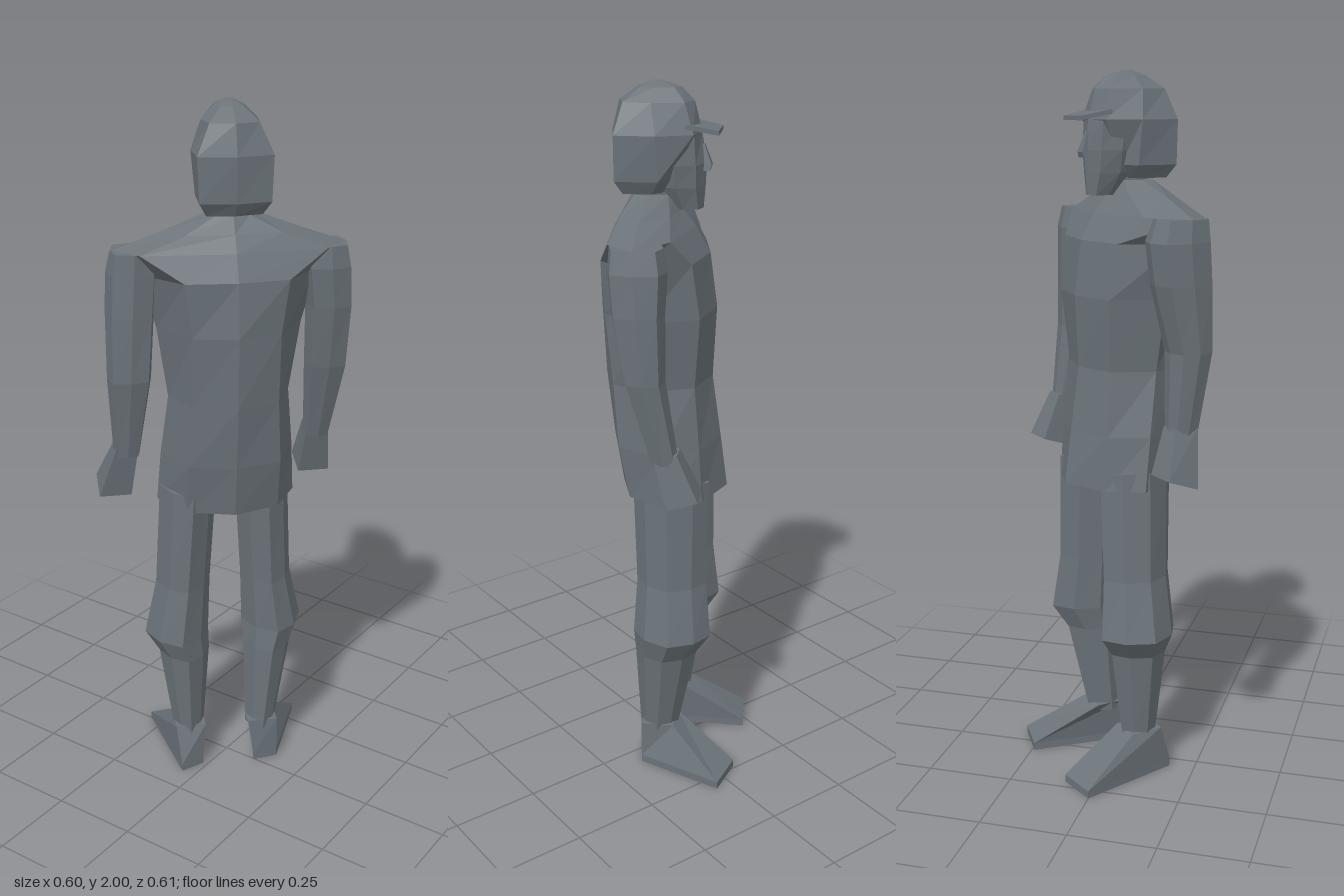
import * as THREE from 'three';

const cloth = new THREE.MeshStandardMaterial({ color: 0x6b7379 });
cloth.name = 'slate grey';

// Faceted skin through rings listed bottom to top; each ring runs front, +x, back, -x.
function loft(name, rings) {
  const pos = [], n = rings[0].length;
  const tri = (a, b, c) => pos.push(...a, ...b, ...c);
  const centre = r => [0, 1, 2].map(k => r.reduce((s, p) => s + p[k], 0) / n);
  const low = rings[0], high = rings[rings.length - 1];
  for (let i = 0; i < n; i++) {
    const j = (i + 1) % n;
    for (let k = 0; k + 1 < rings.length; k++) {
      const a = rings[k], b = rings[k + 1];
      tri(a[i], a[j], b[j]);
      tri(a[i], b[j], b[i]);
    }
    tri(centre(low), low[j], low[i]);
    tri(centre(high), high[i], high[j]);
  }
  const geo = new THREE.BufferGeometry();
  geo.setAttribute('position', new THREE.Float32BufferAttribute(pos, 3));
  geo.computeVertexNormals();
  const mesh = new THREE.Mesh(geo, cloth);
  mesh.name = name;
  return mesh;
}

// Eight-sided limb section; corner sets how square (0.8) or diamond-like (0.6) it is
const oct = corner => ([y, cx, cz, hx, hz]) =>
  Array.from({ length: 8 }, (_, i) => {
    const t = i * Math.PI / 4, s = i % 2 ? corner * Math.SQRT2 : 1;
    return [cx + Math.sin(t) * hx * s, y, cz + Math.cos(t) * hz * s];
  });

// Four-cornered section; tilt raises the front edge
const quad = ([y, cx, cz, hx, hz, tilt = 0]) =>
  [[1, 1], [1, -1], [-1, -1], [-1, 1]].map(([sx, sz]) => [cx + sx * hx, y + sz * tilt, cz + sz * hz]);

// Mirrored section: front depth, front corner, side, back corner, back depth
function body([y, f, fx, fz, sx, sz, bx, bz, b]) {
  return [[0, y, f], [fx, y, fz], [sx, y, sz], [bx, y, bz], [0, y, b],
    [-bx, y, bz], [-sx, y, sz], [-fx, y, fz]];
}

export function createModel() {
  const model = new THREE.Group();
  model.name = 'figure';

  // Jacket, flared at the hem, with a yoke running out over the shoulders
  model.add(loft('jacket', [
    [0.87, 0.165, 0.135, 0.11, 0.2, 0.02, 0.13, -0.095, -0.135],
    [1.02, 0.145, 0.13, 0.1, 0.19, 0, 0.13, -0.125, -0.16],
    [1.2, 0.12, 0.12, 0.085, 0.17, -0.03, 0.12, -0.14, -0.18],
    [1.4, 0.13, 0.14, 0.1, 0.2, -0.04, 0.12, -0.16, -0.19],
    [1.55, 0.11, 0.15, 0.08, 0.24, -0.05, 0.14, -0.165, -0.18],
    [1.62, 0.07, 0.2, 0.03, 0.315, -0.05, 0.25, -0.125, -0.15],
    [1.665, 0.035, 0.11, 0.015, 0.19, -0.055, 0.13, -0.115, -0.125],
    [1.71, 0.01, 0.04, 0, 0.065, -0.045, 0.045, -0.09, -0.1],
  ].map(body)));

  // Neck
  model.add(loft('neck', [
    [1.66, 0, -0.04, 0.05, 0.05], [1.78, 0, -0.03, 0.05, 0.05],
  ].map(oct(0.8))));

  // Cap and hair shell
  model.add(loft('capAndHair', [
    [1.715, 0.0, 0.04, -0.01, 0.07, -0.04, 0.075, -0.115, -0.13],
    [1.75, 0.02, 0.05, 0.015, 0.088, -0.02, 0.095, -0.135, -0.15],
    [1.87, 0.085, 0.065, 0.07, 0.1, -0.025, 0.1, -0.135, -0.155],
    [1.95, 0.065, 0.05, 0.045, 0.075, -0.04, 0.065, -0.115, -0.135],
    [1.985, 0.03, 0.03, 0.015, 0.04, -0.035, 0.03, -0.075, -0.085],
    [2.0, -0.025, 0.006, -0.028, 0.008, -0.035, 0.006, -0.044, -0.046],
  ].map(body)));

  // Face, narrowing to the chin
  model.add(loft('face', [
    [1.67, 0.09, 0.028, 0.078, 0.033, 0.04, 0.025, 0.01, 0],
    [1.73, 0.095, 0.045, 0.075, 0.058, 0.02, 0.04, -0.04, -0.05],
    [1.79, 0.098, 0.053, 0.075, 0.07, 0.02, 0.05, -0.05, -0.06],
    [1.87, 0.085, 0.055, 0.07, 0.07, 0.01, 0.05, -0.05, -0.06],
  ].map(body)));
  model.add(loft('nose', [
    [1.77, 0, 0.095, 0.016, 0.012], [1.785, 0, 0.095, 0.014, 0.017], [1.84, 0, 0.086, 0.006, 0.006],
  ].map(quad)));

  // Cap brim, drooping forward
  model.add(loft('brim', [0, 0.012].map(h => [
    [0.05, 1.868 + h, 0.134], [0.068, 1.885 + h, 0.05], [-0.068, 1.885 + h, 0.05], [-0.05, 1.868 + h, 0.134],
  ])));

  // Sleeves and hands: y, centre x, centre z, half width, half depth
  const sleeves = {
    left: [[1.04, 0.29, -0.035, 0.036, 0.04], [1.27, 0.28, -0.062, 0.06, 0.056],
      [1.45, 0.272, -0.042, 0.066, 0.08], [1.56, 0.265, -0.035, 0.068, 0.084], [1.62, 0.262, -0.045, 0.058, 0.072]],
    right: [[1.04, -0.265, 0.025, 0.036, 0.038], [1.27, -0.275, -0.025, 0.06, 0.054],
      [1.45, -0.275, -0.042, 0.064, 0.07], [1.56, -0.265, -0.045, 0.068, 0.078], [1.62, -0.262, -0.048, 0.058, 0.07]],
  };
  const hands = {
    left: [[0.93, 0.325, 0.005, 0.045, 0.045, 0.016], [1.07, 0.29, -0.035, 0.03, 0.035]],
    right: [[0.93, -0.265, 0.078, 0.045, 0.042, 0.014], [1.07, -0.265, 0.028, 0.03, 0.033]],
  };

  // Trousers, ridged front and back, baggy at the knee, with slim shins
  const legs = {
    left: [[0.11, 0.12, -0.01, 0.045, 0.055], [0.38, 0.13, -0.003, 0.075, 0.09],
      [0.44, 0.15, 0.012, 0.095, 0.118], [0.61, 0.13, 0.008, 0.08, 0.105], [0.92, 0.112, 0.002, 0.082, 0.112]],
    right: [[0.11, -0.1, -0.018, 0.045, 0.055], [0.38, -0.125, 0.005, 0.072, 0.088],
      [0.45, -0.14, 0.026, 0.09, 0.112], [0.61, -0.12, 0.022, 0.075, 0.1], [0.92, -0.105, 0.018, 0.078, 0.108]],
  };

  // Shoe soles: inner/outer toe and heel corners in ring order
  const soles = {
    left: [[0.21, 0.21], [0.155, -0.095], [0.085, -0.065], [0.09, 0.22]],
    right: [[-0.13, 0.212], [-0.07, -0.075], [-0.145, -0.065], [-0.25, 0.177]],
  };

  for (const side of ['left', 'right']) {
    model.add(loft(side + 'Sleeve', sleeves[side].map(oct(0.8))));
    model.add(loft(side + 'Hand', hands[side].map(quad)));
    model.add(loft(side + 'Leg', legs[side].map(oct(0.64))));
    const sole = soles[side], [, ax, az] = legs[side][0];
    const level = y => sole.map(([x, z]) => [x, y, z]);
    model.add(loft(side + 'Shoe', [level(0), level(0.022), quad([0.135, ax, az, 0.045, 0.048])]));
  }

  // Standing turned away on the diagonal
  model.rotation.y = -Math.PI * 0.75;
  const root = new THREE.Group();
  root.name = 'standingFigure';
  root.add(model);
  return root;
}
